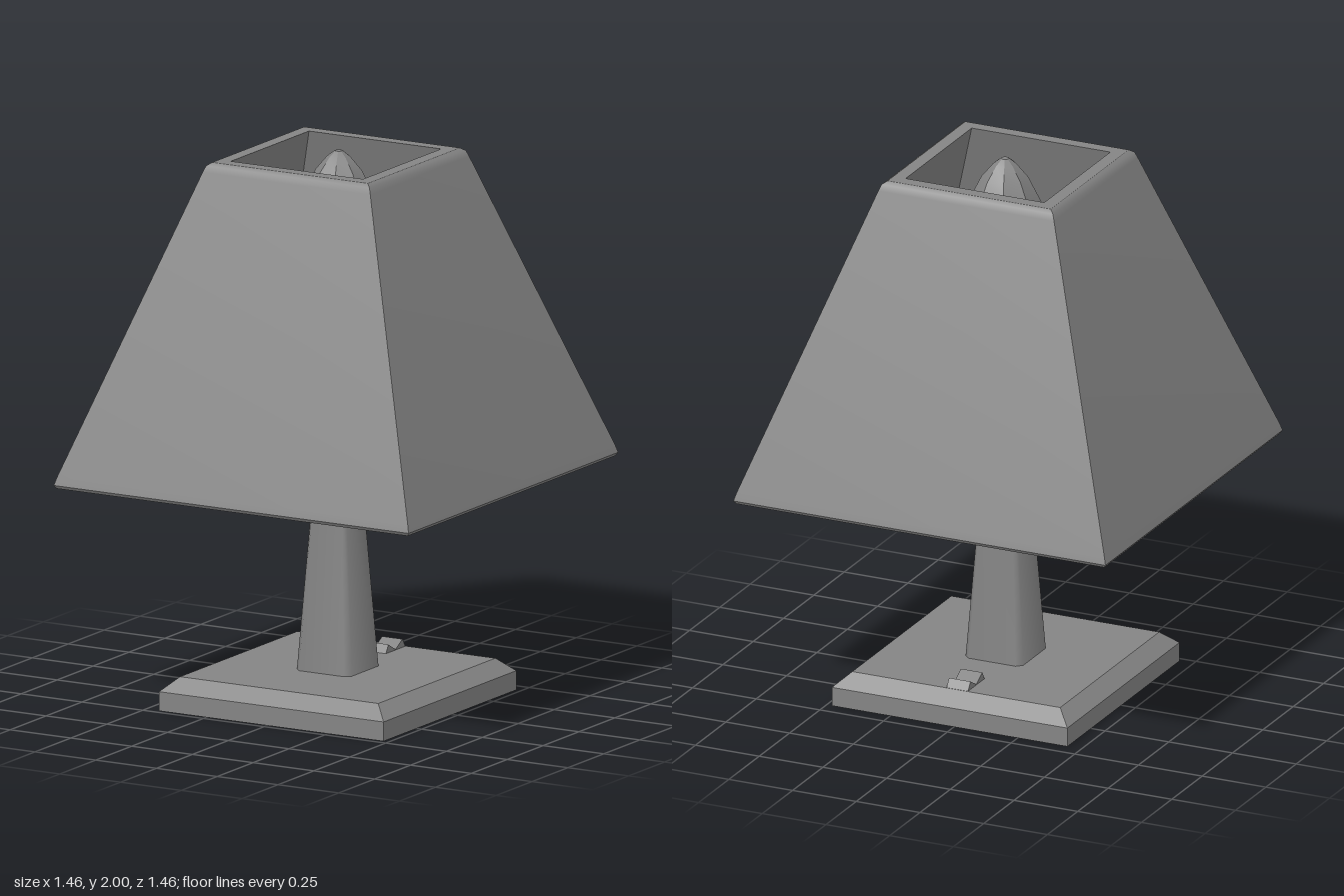
import * as THREE from 'three';
import { toCreasedNormals } from 'three/addons/utils/BufferGeometryUtils.js';

const material = new THREE.MeshStandardMaterial({ color: 0x848484, side: THREE.DoubleSide });
const AXIS = 0.017; // base, stand and bulb sit slightly off the shade's centre

// Lathe from [radius, y] points
function turned(profile, sides, start, scale = 1) {
  const points = profile.map(([r, y]) => new THREE.Vector2(r * scale, y));
  return new THREE.LatheGeometry(points, sides, start);
}

// Square-plan body from [half width, y] points
const squareTurned = (profile) => turned(profile, 4, Math.PI / 4, Math.SQRT2);

// Octagonal lathe pushed out to a square with small cut corners
function chamferedPost(profile, cut) {
  const geometry = turned(profile, 8, Math.PI / 8);
  const p = geometry.attributes.position;
  for (let i = 0; i < p.count; i++) {
    const r = Math.hypot(p.getX(i), p.getZ(i));
    const push = (u) => Math.sign(u) * (Math.abs(u) > r * 0.6 ? r : r * (1 - cut));
    p.setXYZ(i, push(p.getX(i)), p.getY(i), push(p.getZ(i)));
  }
  return geometry;
}

export function createModel() {
  const model = new THREE.Group();
  // Edges sharper than the crease angle stay hard
  const add = (name, geometry, crease, x = 0, y = 0, z = 0) => {
    const mesh = new THREE.Mesh(toCreasedNormals(geometry, crease), material);
    mesh.name = name;
    mesh.position.set(x, y, z);
    model.add(mesh);
  };

  // Thin base shell, open below, with a hole under the hollow stand
  add('base', squareTurned([[0.462, 0], [0.462, 0.07], [0.408, 0.12], [0.1, 0.12]]), 0.3, AXIS, 0, AXIS);

  // Tapered stand with softened corners, running up into the bulb
  add('stand', chamferedPost([[0.113, 0.12], [0.065, 0.83], [0.045, 1.24], [0.045, 1.46]], 0.18), 0.9, AXIS, 0, AXIS);

  // Shade with rolled top edge, thick rim and inner walls
  add('shade', squareTurned([
    [0.665, 0.825], [0.722, 0.825], [0.73, 0.837], [0.722, 0.865], [0.345, 1.945],
    [0.336, 1.968], [0.32, 1.979], [0.272, 1.979], [0.665, 0.825],
  ]), 0.6);

  // Faceted bulb
  add('bulb', turned([
    [0, 1.42], [0.06, 1.42], [0.14, 1.5], [0.185, 1.61], [0.168, 1.72], [0.128, 1.84],
    [0.083, 1.93], [0.042, 1.979], [0.015, 2], [0, 2],
  ], 8, Math.PI / 8), 0.3, AXIS, 0, 0.01);

  // Two arms widening from the stand down to the shade's lower edge
  const root = new THREE.Vector2(0, 1.26);
  const span = new THREE.Vector2(0.655, 0.885).sub(root);
  for (const side of [1, -1]) {
    const arm = chamferedPost([[0.042, 0], [0.054, span.length() * 0.4], [0.066, span.length()]], 0.25);
    arm.scale(0.8, 1, 1).rotateZ(-side * Math.atan2(span.x, span.y));
    add(side > 0 ? 'leftArm' : 'rightArm', arm, 0.9, side > 0 ? AXIS : 0, root.y, 0.008);
  }

  // Rocker switch at the back of the base
  const rocker = new THREE.Shape([
    [0.25, 0.115], [0.27, 0.15], [0.32, 0.122], [0.368, 0.15], [0.392, 0.115],
  ].map(([z, y]) => new THREE.Vector2(z, y)));
  const rockerGeometry = new THREE.ExtrudeGeometry(rocker, { depth: 0.084, bevelEnabled: false });
  add('switch', rockerGeometry.translate(0, 0, -0.042).rotateY(Math.PI / 2), 0.3, 0.014);

  return model;
}
